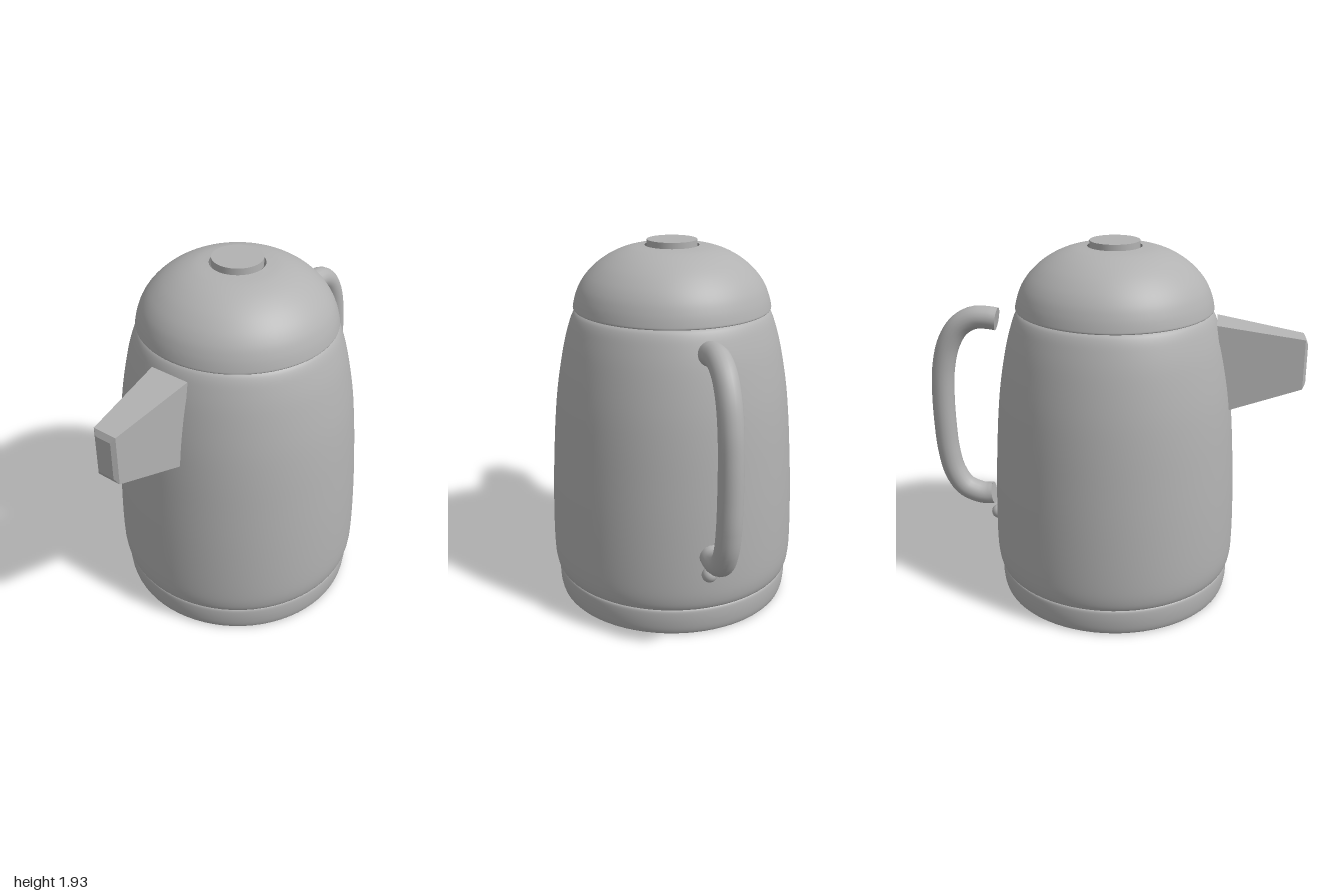
import * as THREE from 'three';

const steel = new THREE.MeshStandardMaterial({ color: 0xb2b2b2, side: THREE.DoubleSide });
steel.name = 'grey';

const CX = -0.005; // axis of the pot

function addMesh(parent, name, geometry) {
  const mesh = new THREE.Mesh(geometry, steel);
  mesh.name = name;
  parent.add(mesh);
  return mesh;
}

// Thin turned shell from [radius, height] pairs, smoothed by a spline
function turned(parent, name, profile, divisions) {
  const curve = new THREE.SplineCurve(profile.map(([r, y]) => new THREE.Vector2(r, y)));
  addMesh(parent, name, new THREE.LatheGeometry(curve.getPoints(divisions), 72)).position.x = CX;
}

// Tapered block lofted along x from rectangular sections, flat faced
function spoutGeometry() {
  const sections = [ // x at top, x at bottom, top, bottom, half width
    [-0.535, -0.605, 1.53, 1.075, 0.11],
    [-0.985, -0.985, 1.455, 1.19, 0.066],
    [-1.0, -1.0, 1.425, 1.22, 0.045],
  ];
  const rings = sections.map(([xt, xb, t, b, w]) => [[xt, t, -w], [xt, t, w], [xb, b, w], [xb, b, -w]]);
  const pos = [];
  const quad = (a, b, c, d) => pos.push(...a, ...b, ...c, ...a, ...c, ...d);
  for (let i = 0; i < rings.length - 1; i++) {
    for (let k = 0; k < 4; k++) {
      const n = (k + 1) % 4;
      quad(rings[i][k], rings[i + 1][k], rings[i + 1][n], rings[i][n]);
    }
  }
  const tip = rings[rings.length - 1];
  quad(tip[0], tip[3], tip[2], tip[1]);
  const g = new THREE.BufferGeometry();
  g.setAttribute('position', new THREE.Float32BufferAttribute(pos, 3));
  g.computeVertexNormals();
  return g;
}

export function createModel() {
  const kettle = new THREE.Group();
  kettle.name = 'kettle';

  // Hollow shells: open base ring, body and domed lid
  turned(kettle, 'baseRing', [
    [0.605, 0], [0.618, 0.008], [0.628, 0.04], [0.633, 0.09], [0.631, 0.135], [0.622, 0.147],
  ], 20);
  turned(kettle, 'body', [
    [0.622, 0.147], [0.636, 0.155], [0.649, 0.195], [0.656, 0.27], [0.656, 0.42], [0.65, 0.62],
    [0.639, 0.82], [0.624, 1.02], [0.603, 1.2], [0.568, 1.39], [0.535, 1.51], [0.512, 1.565], [0.492, 1.585],
  ], 60);
  turned(kettle, 'lid', [
    [0.495, 1.585], [0.512, 1.588], [0.512, 1.605], [0.499, 1.655], [0.475, 1.71], [0.435, 1.765],
    [0.375, 1.82], [0.3, 1.865], [0.22, 1.893], [0.14, 1.904],
  ], 48);

  // Lid button, set in the opening with a narrow gap
  addMesh(kettle, 'lidButton', new THREE.CylinderGeometry(0.129, 0.129, 0.04, 48)).position.set(CX, 1.913, 0);

  addMesh(kettle, 'spout', spoutGeometry());

  // Curved handle with capped ends
  const handle = new THREE.Group();
  handle.name = 'handle';
  const path = new THREE.CatmullRomCurve3([
    [0.622, 1.5], [0.67, 1.507], [0.75, 1.503], [0.83, 1.455], [0.89, 1.36], [0.925, 1.23], [0.938, 1.08],
    [0.938, 0.9], [0.928, 0.74], [0.9, 0.61], [0.845, 0.52], [0.77, 0.483], [0.72, 0.476], [0.682, 0.481],
  ].map(([x, y]) => new THREE.Vector3(x, y, 0)));
  addMesh(handle, 'grip', new THREE.TubeGeometry(path, 60, 0.061, 18));
  for (const [t, sign] of [[0, -1], [1, 1]]) {
    const cap = addMesh(handle, 'gripEnd', new THREE.CircleGeometry(0.061, 18));
    cap.position.copy(path.getPoint(t));
    cap.quaternion.setFromUnitVectors(new THREE.Vector3(0, 0, 1), path.getTangent(t).multiplyScalar(sign));
  }
  kettle.add(handle);

  // Small indicator light below the handle
  addMesh(kettle, 'indicator', new THREE.SphereGeometry(0.04, 24, 16)).position.set(0.66, 0.362, 0);

  return kettle;
}
